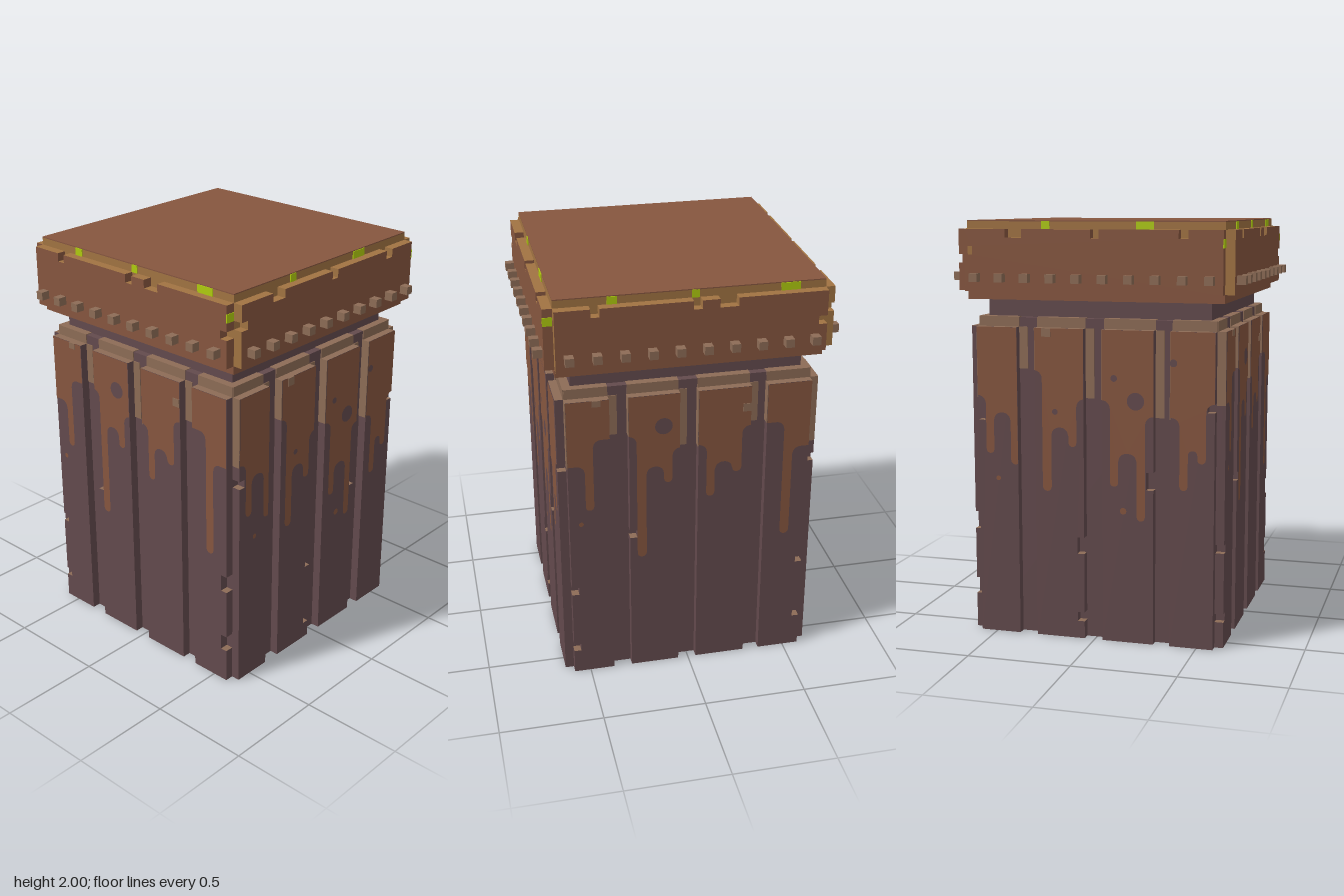
import * as THREE from 'three';

const mat = (name, color) => Object.assign(new THREE.MeshStandardMaterial({ color }), { name });

export function createModel() {
  const M = {
    purple: mat('darkPurpleWood', 0x634a4d),
    rust: mat('rustBrown', 0x86563f),
    gold: mat('goldenEdge', 0xa17342),
    tan: mat('paleTan', 0x8d6c56),
    green: mat('brightGreen', 0xafcb0e),
  };
  const model = new THREE.Group();

  const add = (parent, name, geo, material) => {
    const m = new THREE.Mesh(geo, material);
    m.name = name;
    parent.add(m);
    return m;
  };
  // Box from its minimum and maximum corners
  const box = (parent, name, material, [x0, y0, z0], [x1, y1, z1]) =>
    add(parent, name, new THREE.BoxGeometry(x1 - x0, y1 - y0, z1 - z0), material)
      .position.set((x0 + x1) / 2, (y0 + y1) / 2, (z0 + z1) / 2);

  // Slab with square notches; each is ['L' | 'R' | 'T', from, to]
  const slab = (x0, x1, y0, y1, z, depth, notches, d = 0.04) => {
    const side = (k) => notches.filter((n) => n[0] === k).sort((a, b) => a[1] - b[1]);
    const pts = [[x0, y0], [x1, y0]];
    for (const [, a, b] of side('R')) pts.push([x1, a], [x1 - d, a], [x1 - d, b], [x1, b]);
    pts.push([x1, y1]);
    for (const [, a, b] of side('T').reverse()) pts.push([b, y1], [b, y1 - d], [a, y1 - d], [a, y1]);
    pts.push([x0, y1]);
    for (const [, a, b] of side('L').reverse()) pts.push([x0, b], [x0 + d, b], [x0 + d, a], [x0, a]);
    const shape = new THREE.Shape(pts.map((p) => new THREE.Vector2(...p)));
    return new THREE.ExtrudeGeometry(shape, { depth, bevelEnabled: false }).translate(0, 0, z);
  };
  // Give the triangles chosen by their normal the second material
  const paintByNormal = (geo, test) => {
    const n = geo.attributes.normal;
    geo.clearGroups();
    for (let i = 0; i < n.count; i += 3) geo.addGroup(i, 3, test(n.getX(i), n.getY(i)) ? 1 : 0);
    return geo;
  };

  // Outline of the rust paint on one plank: columns are [end x, lower y]
  const dripShape = (p0, p1, cols) => {
    const pts = [[p1, 1.5], [p0, 1.5]];
    cols.forEach(([x1, y], i) => {
      const x0 = i ? cols[i - 1][0] : -0.62;
      const a = Math.max(x0, p0), b = Math.min(x1, p1);
      if (b - a < 0.001) return;
      const next = cols[i + 1] || cols[i - 1];
      const dir = y < next[1] ? 1 : -1;
      const r = Math.min(0.04, (x1 - x0) / 2);
      for (let k = 0; k <= 16; k++) {
        const x = a + ((b - a) * k) / 16;
        const e = Math.max(0, r - Math.min(x - x0, x1 - x));
        pts.push([x, y + dir * (r - Math.sqrt(Math.max(0, r * r - e * e)))]);
      }
    });
    return new THREE.Shape(pts.map((p) => new THREE.Vector2(...p)));
  };

  // Two designs of wall, used on opposite sides
  const designs = [
    {
      cols: [[-0.54, 1.17], [-0.5, 0.89], [-0.415, 1.09], [-0.37, 0.84], [-0.255, 1.3], [-0.21, 0.72],
        [-0.125, 1.03], [-0.085, 0.94], [0.08, 1.17], [0.12, 0.76], [0.21, 0.92], [0.25, 0.6],
        [0.415, 1.1], [0.455, 0.76], [0.5, 0.95], [0.54, 0.89], [0.62, 1.17]],
      strips: [1.16, 1.3, 1.17, 1.09],
      notches: [[['L', 1.05, 1.09]], [['R', 0.42, 0.5], ['R', 0.085, 0.13]], [['R', 0.75, 0.835]], [['R', 1.13, 1.17]]],
      chips: [[-0.255, -0.21, 1.46, 1.5]],
      spots: [[0.1, 1.275, 0.016], [0.205, 1.17, 0.042], [-0.19, 1.105, 0.014], [0.385, 1.355, 0.018]],
      rustSpots: [[-0.48, 0.77, 0.012], [0.145, 0.645, 0.016]],
      lid: [['T', -0.415, -0.335], ['T', 0, 0.04], ['T', 0.415, 0.46], ['L', 1.84, 1.88]],
      green: [[-0.25, -0.21], [0.205, 0.29]],
    },
    {
      cols: [[-0.5, 1.17], [-0.46, 0.93], [-0.255, 1.3], [-0.21, 0.64], [-0.125, 1.13], [-0.085, 1.04],
        [0.08, 1.22], [0.12, 0.94], [0.205, 1.12], [0.25, 1.06], [0.455, 1.3], [0.5, 0.68], [0.62, 1.16]],
      strips: [1.16, 1.3, 1.21, 1.3],
      notches: [[['L', 0.46, 0.5], ['L', 0.125, 0.165]], [['L', 0.75, 0.79]], [], [['R', 0.5, 0.585], ['R', 0.17, 0.25]]],
      chips: [[0.25, 0.29, 1.375, 1.415], [-0.46, -0.42, 1.47, 1.5]],
      spots: [[-0.127, 1.34, 0.042]],
      rustSpots: [[-0.525, 0.86, 0.012]],
      lid: [['T', -0.46, -0.42], ['T', 0, 0.04], ['T', 0.12, 0.205], ['R', 1.8, 1.84]],
      green: [[-0.38, -0.335], [0, 0.035], [0.41, 0.5]],
    },
  ];
  const planks = [[-0.58, -0.38], [-0.29, -0.05], [0.04, 0.29], [0.37, 0.58]];

  // Solid cores
  box(model, 'bodyCore', M.purple, [-0.58, 0, -0.58], [0.58, 1.545, 0.58]);
  box(model, 'neck', M.purple, [-0.545, 1.54, -0.545], [0.545, 1.64, 0.545]);
  box(model, 'lidBase', M.rust, [-0.62, 1.63, -0.62], [0.62, 1.67, 0.62]);
  box(model, 'lidCore', M.gold, [-0.62, 1.67, -0.62], [0.62, 1.995, 0.62]);
  box(model, 'lidTop', M.rust, [-0.62, 1.995, -0.62], [0.62, 2, 0.62]);

  ['front', 'right', 'back', 'left'].forEach((label, s) => {
    const d = designs[s % 2];
    const wall = new THREE.Group();
    wall.name = label + 'Side';
    wall.rotation.y = (s * Math.PI) / 2;
    model.add(wall);

    planks.forEach(([a, b], i) => {
      // Plank with pale top edge
      const geo = slab(a, b, 0, 1.5, 0.58, 0.042, d.notches[i], 0.035);
      add(wall, 'plank', paintByNormal(geo, (nx, ny) => ny > 0.9), [M.purple, M.tan]);
      const drip = new THREE.ShapeGeometry(dripShape(a, b, d.cols)).translate(0, 0, 0.625);
      add(wall, 'rustDrips', drip, M.rust);
      // Worn upper rim and the pale left edge of each plank
      box(wall, 'plankRim', M.tan, [a, 1.5, 0.578], [b, 1.545, 0.584]);
      box(wall, 'plankLedge', M.tan, [a, 1.543, 0.545], [b, 1.548, 0.584]);
      box(wall, 'plankEdge', M.tan, [a - 0.003, d.strips[i], 0.58], [a + 0.001, 1.5, 0.622]);
      // Pale strip in the groove to the left of the plank
      if (i) {
        const g = planks[i - 1][1];
        box(wall, 'grooveStrip', M.tan, [g, d.strips[i], 0.578], [g + 0.042, 1.5, 0.584]);
      }
    });

    // Painted chips and spots
    for (const [a, b, y0, y1] of d.chips) box(wall, 'chip', M.tan, [a, y0, 0.622], [b, y1, 0.628]);
    const spot = (material) => ([x, y, r]) =>
      add(wall, 'spot', new THREE.CircleGeometry(r, 16), material).position.set(x, y, 0.628);
    d.spots.forEach(spot(M.purple));
    d.rustSpots.forEach(spot(M.rust));

    // Lid panel, golden on its top and left end
    const panel = slab(-0.62, 0.62, 1.67, 1.96, 0.62, 0.045, d.lid);
    add(wall, 'lidPanel', paintByNormal(panel, (nx, ny) => ny > 0.9 || nx < -0.9), [M.rust, M.gold]);
    for (const [a, b] of d.green) box(wall, 'greenMark', M.green, [a, 1.96, 0.618], [b, 1.996, 0.624]);
    if (s !== 1) box(wall, 'greenEndMark', M.green, [0.618, 1.88, 0.622], [0.623, 1.92, 0.666]);

    // Row of square rivets
    for (let i = 0; i < 10; i++) {
      const x = -0.5625 + i * 0.125;
      box(wall, 'rivet', M.tan, [x - 0.02, 1.715, 0.66], [x + 0.02, 1.755, 0.708]);
    }
  });
  return model;
}
